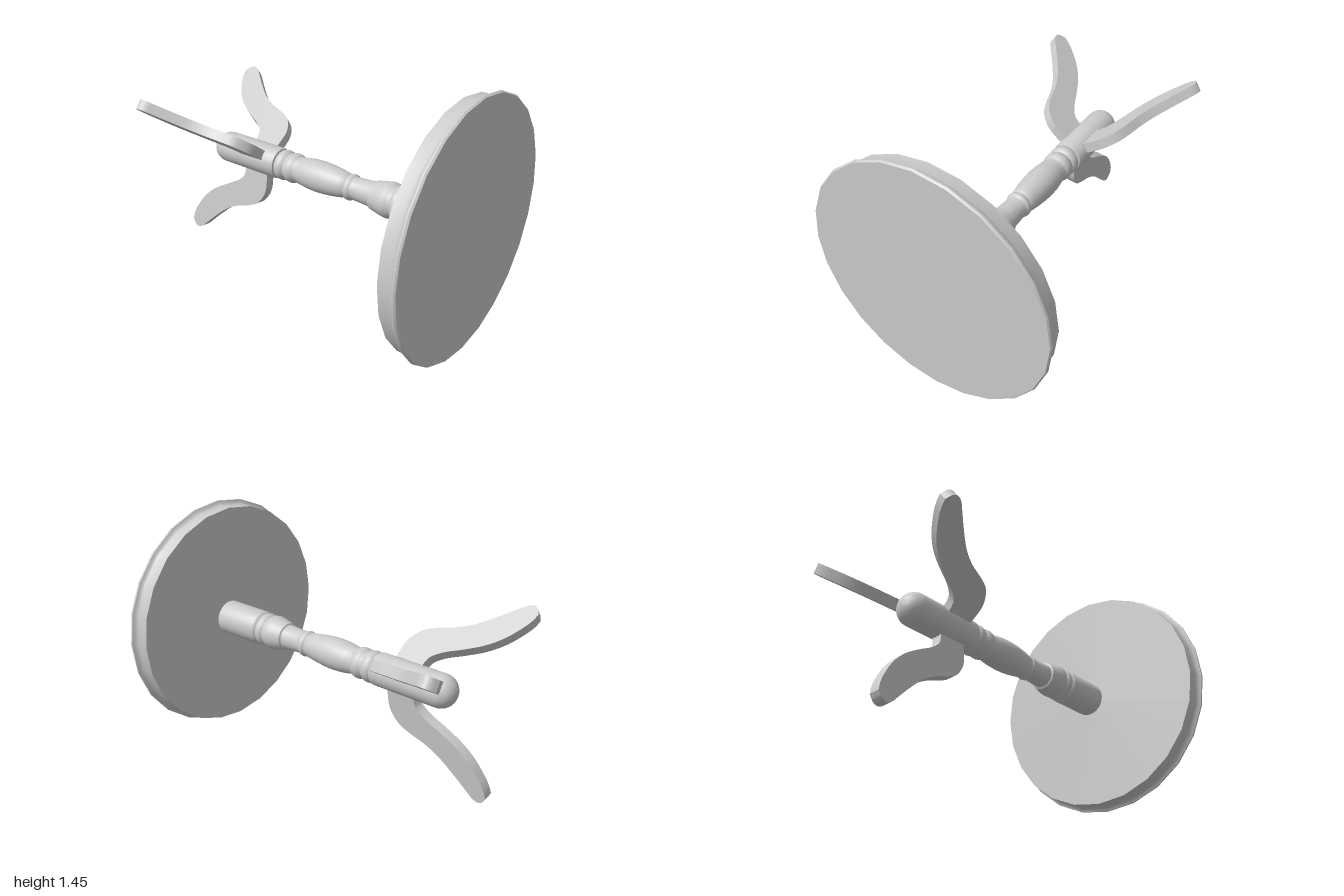
import * as THREE from 'three';
import { toCreasedNormals } from 'three/addons/utils/BufferGeometryUtils.js';

const material = new THREE.MeshStandardMaterial({ color: 0xcccccc });
const AXIS_X = 0.038, AXIS_Y = 0.727;

function addPart(group, name, geometry, crease = 0.6) {
  const mesh = new THREE.Mesh(toCreasedNormals(geometry, crease), material);
  mesh.name = name;
  group.add(mesh);
  return mesh;
}

// Turned solid around the z axis from [radius, z] pairs, ordered by rising z
function turned(profile) {
  const points = profile.map(([r, z]) => new THREE.Vector2(r, z));
  return new THREE.LatheGeometry(points, 24).rotateX(Math.PI / 2);
}

// Rounded ring between z0 and z1, bulging from radius r0 to r1
function bead(z0, z1, r0, r1) {
  const points = [];
  for (let i = 0; i <= 6; i++) {
    const t = i / 6;
    points.push([r0 + (r1 - r0) * Math.sqrt(Math.sin(Math.PI * t)), z0 + (z1 - z0) * t]);
  }
  points[6][0] = r0;
  return points;
}

// S-curved leg outline, [radius, z], extruded to an even thickness
function legGeometry() {
  const front = [[0.14, -0.382], [0.19, -0.386], [0.24, -0.405], [0.295, -0.45], [0.33, -0.52], [0.365, -0.62],
    [0.415, -0.71], [0.49, -0.80], [0.56, -0.875], [0.597, -0.915], [0.612, -0.95], [0.6, -0.98], [0.565, -1]];
  const back = [[0.52, -0.988], [0.465, -0.96], [0.38, -0.90], [0.307, -0.82], [0.247, -0.72],
    [0.2, -0.63], [0.155, -0.575], [0.115, -0.557]];
  const vectors = list => list.map(([r, z]) => new THREE.Vector2(r, z));
  const shape = new THREE.Shape();
  shape.moveTo(0.09, -0.382);
  shape.lineTo(0.14, -0.382);
  shape.splineThru(vectors(front.slice(1)));
  shape.splineThru(vectors(back));
  shape.lineTo(0.09, -0.555);
  const thickness = 0.06;
  return new THREE.ExtrudeGeometry(shape, { depth: thickness, bevelEnabled: false, curveSegments: 30 })
    .translate(0, 0, -thickness / 2)
    .rotateX(Math.PI / 2);
}

export function createModel() {
  const model = new THREE.Group();
  model.name = 'pedestalTable';

  // Round top with a flared rim, facing +z
  const top = addPart(model, 'tableTop', turned([
    [0, 0.886], [0.696, 0.886], [0.696, 0.945], [0.7, 0.96], [0.708, 0.972],
    [0.724, 0.98], [0.725, 0.99], [0.718, 1], [0, 1],
  ]));
  top.position.y = 0.725;

  // Turned column, from the domed foot to the underside of the top
  const dome = [];
  for (let i = 0; i <= 8; i++) {
    const a = (i / 8) * Math.PI / 2;
    dome.push([0.094 * Math.sin(a), -0.715 - 0.092 * Math.cos(a)]);
  }
  const column = addPart(model, 'column', turned([
    ...dome,
    [0.094, -0.31], [0.089, -0.3],
    ...bead(-0.298, -0.235, 0.078, 0.092),
    ...bead(-0.228, -0.162, 0.078, 0.09),
    [0.076, -0.155], [0.083, -0.12], [0.09, -0.07], [0.093, -0.01], [0.091, 0.05],
    [0.085, 0.11], [0.077, 0.16], [0.07, 0.198],
    ...bead(0.2, 0.24, 0.068, 0.077),
    [0.066, 0.245], [0.069, 0.3], [0.074, 0.375], [0.084, 0.38], [0.09, 0.41], [0.1, 0.455],
    [0.103, 0.475], [0.101, 0.5], [0.09, 0.515],
    ...bead(0.52, 0.575, 0.09, 0.102),
    [0.096, 0.58], [0.104, 0.59], [0.104, 0.89],
  ]), 0.7);
  column.position.set(AXIS_X, AXIS_Y, 0);

  // Three legs spread around the column
  const leg = legGeometry();
  [['rightLeg', 32], ['leftLeg', 143], ['lowerLeg', 263]].forEach(([name, degrees]) => {
    const mesh = addPart(model, name === 'rightLeg' ? 'legA' : name === 'leftLeg' ? 'legB' : 'lowerLeg', leg);
    mesh.position.set(AXIS_X, AXIS_Y, 0);
    mesh.rotation.z = THREE.MathUtils.degToRad(degrees);
  });

  return model;
}
